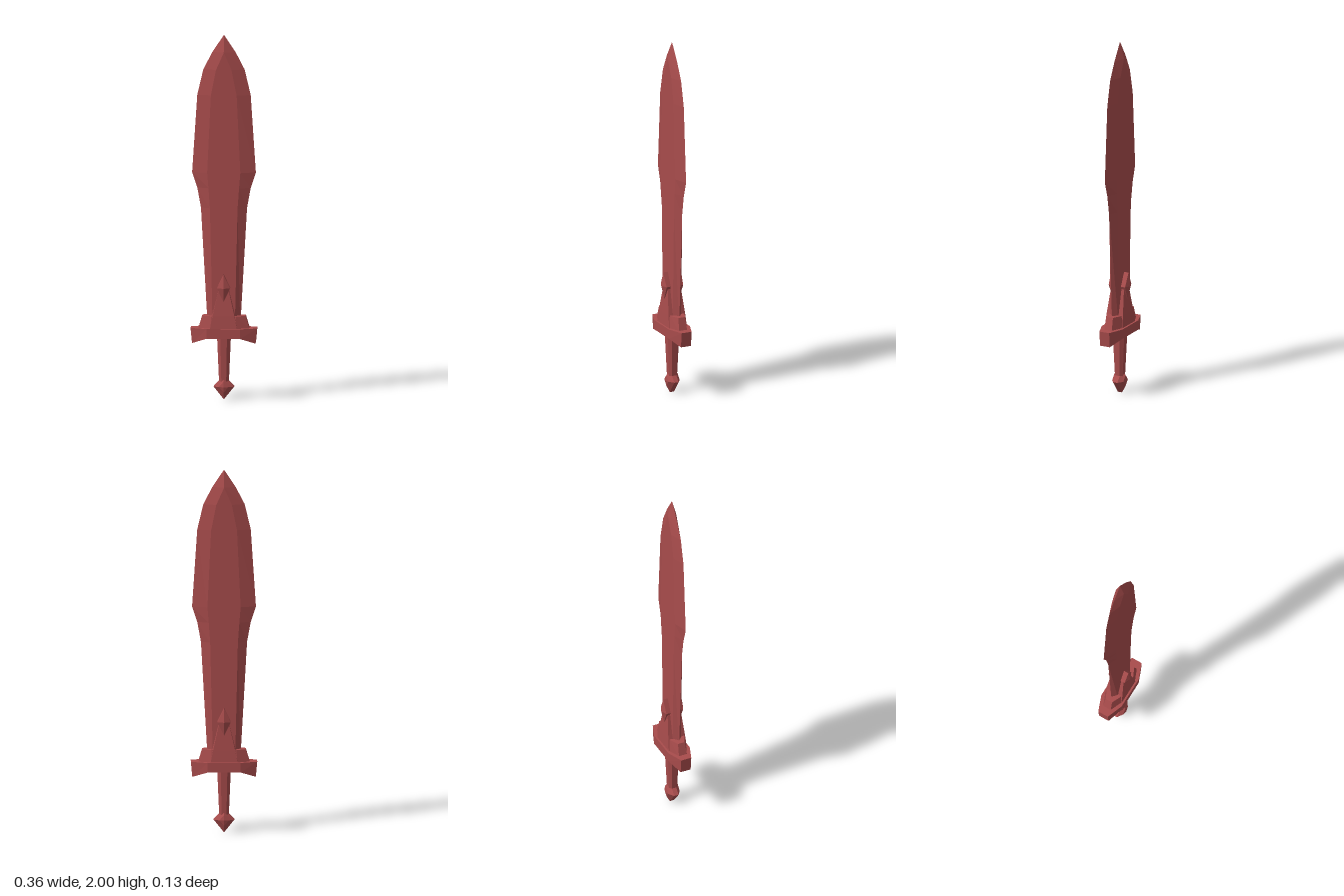
import * as THREE from 'three';

const material = new THREE.MeshStandardMaterial({ color: 0xa84c4c, flatShading: true });

// Joins equal-sized rings of [x, y, z] points, caps both ends and faces outward.
function loft(name, rings) {
  const tris = [];
  const n = rings[0].length;
  for (let r = 0; r < rings.length - 1; r++) {
    for (let i = 0; i < n; i++) {
      const j = (i + 1) % n;
      const a = rings[r][i], b = rings[r][j], c = rings[r + 1][j], d = rings[r + 1][i];
      tris.push([a, b, c], [a, c, d]);
    }
  }
  const first = rings[0], last = rings[rings.length - 1];
  for (let i = 1; i < n - 1; i++) {
    tris.push([first[0], first[i + 1], first[i]], [last[0], last[i], last[i + 1]]);
  }
  // Reverse the corners when the enclosed volume comes out negative
  const centre = new THREE.Vector3();
  rings.flat().forEach((p) => centre.add(new THREE.Vector3(...p)));
  centre.divideScalar(n * rings.length);
  let volume = 0;
  for (const t of tris) {
    const [a, b, c] = t.map((p) => new THREE.Vector3(...p).sub(centre));
    volume += a.dot(b.cross(c));
  }
  if (volume < 0) tris.forEach((t) => t.reverse());
  const geometry = new THREE.BufferGeometry();
  geometry.setAttribute('position', new THREE.Float32BufferAttribute(tris.flat(2), 3));
  geometry.computeVertexNormals();
  const mesh = new THREE.Mesh(geometry, material);
  mesh.name = name;
  return mesh;
}

// Eight-sided horizontal ring with cut corners
const octagon = (y, x, z, cutX, cutZ) => [
  [x, y, cutZ], [cutX, y, z], [-cutX, y, z], [-x, y, cutZ],
  [-x, y, -cutZ], [-cutX, y, -z], [cutX, y, -z], [x, y, -cutZ],
];

// Upright diamond ring: half-width, middle, top and bottom heights
const diamond = (w, mid, top, bottom, zSide, zTop = zSide, zBottom = zSide) => [
  [w, mid, zSide], [0, top, zTop], [-w, mid, zSide], [0, bottom, zBottom],
];

export function createModel() {
  const model = new THREE.Group();
  model.name = 'sword';

  // Leaf-shaped blade: height, edge half-width, flat half-width, half-thickness
  const blade = [
    [0.39, 0.088, 0.06, 0.025],
    [1.05, 0.125, 0.075, 0.025],
    [1.16, 0.145, 0.083, 0.025],
    [1.245, 0.173, 0.09, 0.025],
    [1.67, 0.145, 0.07, 0.025],
    [1.81, 0.112, 0.042, 0.025],
    [1.905, 0.063, 0, 0.025],
    [2, 0, 0, 0],
  ];
  model.add(loft('blade', blade.map(([y, w, f, t]) => [
    [w, y, 0], [f, y, t], [-f, y, t], [-w, y, 0], [-f, y, -t], [f, y, -t],
  ])));

  // Crossguard with drooping, narrowed ends: top x, bottom x, bottom y, half-depth
  const guard = [
    [-0.18, -0.172, 0.31, 0.03],
    [-0.09, -0.09, 0.34, 0.064],
    [0.09, 0.09, 0.34, 0.064],
    [0.18, 0.172, 0.31, 0.03],
  ];
  model.add(loft('crossguard', guard.map(([xt, xb, y, z]) => [
    [xt, 0.393, z], [xt, 0.393, -z], [xb, y, -z], [xb, y, z],
  ])));

  // Stepped collar above the guard
  model.add(loft('collar', [
    octagon(0.385, 0.14, 0.053, 0.07, 0.024),
    octagon(0.46, 0.118, 0.043, 0.068, 0.02),
  ]));

  // Tapered plates and pointed gems on both faces of the blade
  for (const s of [1, -1]) {
    const side = s > 0 ? 'front' : 'back';
    const plate = [[0.385, 0.083, 0.054], [0.46, 0.066, 0.05], [0.62, 0.026, 0.038]];
    model.add(loft(side + 'Plate', plate.map(([y, w, z]) => [
      [w, y, 0], [w * 0.9, y, s * z], [-w * 0.9, y, s * z], [-w, y, 0],
    ])));
    model.add(loft(side + 'Gem', [
      diamond(0.036, 0.615, 0.69, 0.54, s * 0.02),
      diamond(0.036, 0.615, 0.69, 0.54, s * 0.05, s * 0.053, s * 0.046),
      diamond(0, 0.615, 0.615, 0.615, s * 0.065),
    ]));
  }

  // Eight-sided grip, thinner toward the pommel
  model.add(loft('grip', [
    octagon(0.09, 0.026, 0.024, 0.013, 0.012),
    octagon(0.35, 0.037, 0.036, 0.018, 0.017),
  ]));

  // Faceted diamond pommel
  model.add(loft('pommel', [
    diamond(0, 0.07, 0.07, 0.07, -0.04),
    diamond(0.026, 0.07, 0.1, 0.04, -0.034),
    diamond(0.056, 0.07, 0.127, 0, -0.013),
    diamond(0.056, 0.07, 0.127, 0, 0.013),
    diamond(0.026, 0.07, 0.1, 0.04, 0.034),
    diamond(0, 0.07, 0.07, 0.07, 0.04),
  ]));

  return model;
}
